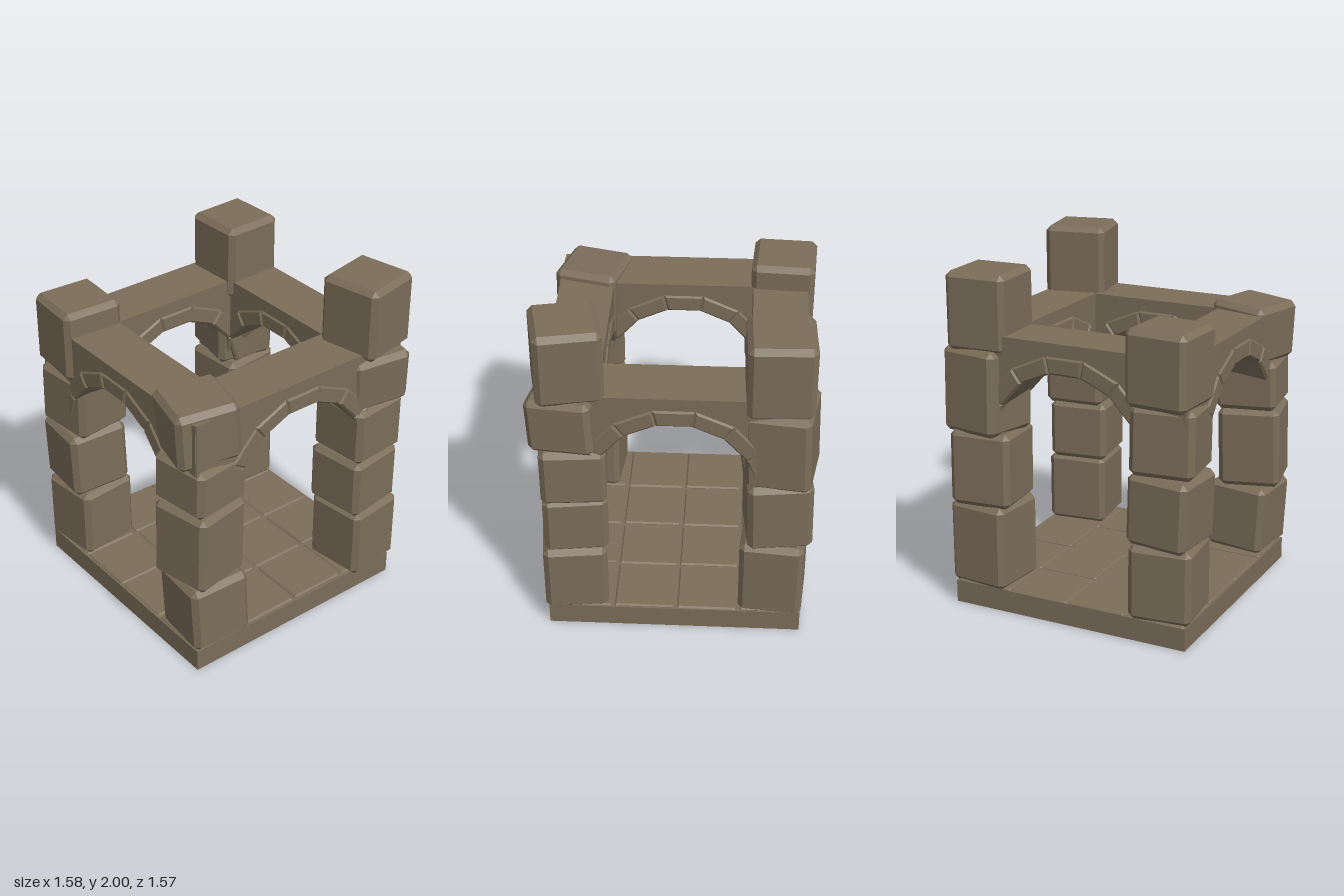
import * as THREE from 'three';
import { ConvexGeometry } from 'three/addons/geometries/ConvexGeometry.js';

const stone = new THREE.MeshStandardMaterial({ color: 0x7b6d59, flatShading: true });
stone.name = 'brown stone';

// Box with chamfered edges and cut corners
function chamferBox(w, h, d, c) {
  const pts = [];
  for (const sx of [-1, 1]) for (const sy of [-1, 1]) for (const sz of [-1, 1]) {
    const [x, y, z] = [w / 2, h / 2, d / 2];
    pts.push(
      new THREE.Vector3(sx * x, sy * (y - c), sz * (z - c)),
      new THREE.Vector3(sx * (x - c), sy * y, sz * (z - c)),
      new THREE.Vector3(sx * (x - c), sy * (y - c), sz * z));
  }
  return new ConvexGeometry(pts);
}

// Wedge stone for the arch, with chamfered front and back faces
function wedge(rIn, rOut, halfAngle, depth, c) {
  const pts = [], t = Math.tan(halfAngle);
  for (const s of [-1, 1]) for (const z of [-1, 1]) {
    for (const r of [rIn, rOut]) {
      const inset = r === rIn ? c : -c;
      pts.push(
        new THREE.Vector3(s * r * t, r, z * (depth / 2 - c)),
        new THREE.Vector3(s * ((r + inset) * t - c), r + inset, z * depth / 2));
    }
  }
  return new ConvexGeometry(pts);
}

function add(parent, name, geometry, x = 0, y = 0, z = 0) {
  const mesh = new THREE.Mesh(geometry, stone);
  mesh.name = name;
  mesh.position.set(x, y, z);
  parent.add(mesh);
  return mesh;
}

// Stacked blocks per corner: [x, z, bottom, top, pitch, yaw, roll]
const PILLARS = {
  frontLeftPillar: [
    [0.56, 0.57, 0.13, 0.56, 0, 0.12, 0],
    [0.545, 0.56, 0.55, 0.91, 0, 0.13, 0],
    [0.565, 0.555, 0.90, 1.25, 0, 0.09, 0],
    [0.58, 0.575, 1.24, 1.59, 0.06, -0.18, 0.04],
    [0.572, 0.565, 1.57, 2.0, 0, 0.2, 0]],
  frontRightPillar: [
    [-0.545, 0.565, 0.13, 0.56, 0, -0.08, 0.05],
    [-0.575, 0.56, 0.55, 1.03, 0, 0.2, -0.03],
    [-0.56, 0.55, 1.02, 1.32, 0, 0.14, -0.03],
    [-0.565, 0.53, 1.31, 1.66, 0, -0.25, 0.05]],
  backLeftPillar: [
    [0.555, -0.555, 0.13, 0.62, 0, -0.09, 0],
    [0.55, -0.565, 0.61, 1.05, 0.02, 0.1, 0],
    [0.56, -0.575, 1.03, 1.52, 0.03, -0.17, 0],
    [0.55, -0.55, 1.50, 1.94, 0, 0.04, 0]],
  backRightPillar: [
    [-0.545, -0.55, 0.13, 0.56, 0, 0.1, 0],
    [-0.555, -0.56, 0.55, 0.96, 0, -0.08, 0.03],
    [-0.55, -0.55, 0.95, 1.34, 0.03, 0.12, 0],
    [-0.55, -0.575, 1.33, 1.75, 0, -0.06, 0]],
};

const ARCH_Y = 1.0, STEP = THREE.MathUtils.degToRad(24);

// Wall outline with a faceted arch cut from its lower edge
function wallGeometry(depth) {
  const shape = new THREE.Shape();
  shape.moveTo(0.705, 1.61);
  shape.lineTo(-0.705, 1.61);
  shape.lineTo(-0.705, 1.05);
  for (let i = -3.5; i <= 3.5; i++) {
    shape.lineTo(0.455 * Math.sin(i * STEP), ARCH_Y + 0.455 * Math.cos(i * STEP));
  }
  shape.lineTo(0.705, 1.05);
  shape.closePath();
  const geo = new THREE.ExtrudeGeometry(shape, { depth, bevelEnabled: false });
  return geo.translate(0, 0, -depth / 2);
}

export function createModel() {
  const model = new THREE.Group();
  model.name = 'stonePavilion';

  // Floor slab and paving
  add(model, 'floorSlab', new THREE.BoxGeometry(1.434, 0.13, 1.434), 0, 0.065, 0);
  const paving = new THREE.Group();
  paving.name = 'paving';
  model.add(paving);
  const tile = chamferBox(0.342, 0.04, 0.342, 0.009);
  for (let i = 0; i < 4; i++) for (let j = 0; j < 4; j++) {
    const y = 0.119 + ((i + j) % 2) * 0.003;
    add(paving, 'floorTile', tile, (i - 1.5) * 0.358, y, (j - 1.5) * 0.358 - 0.008);
  }

  // Four arched walls, one per side
  const wall = wallGeometry(0.31);
  const archStone = wedge(0.438, 0.538, STEP / 2, 0.33, 0.012);
  ['frontWall', 'leftWall', 'backWall', 'rightWall'].forEach((name, k) => {
    const side = new THREE.Group();
    side.name = name;
    side.rotation.y = k * Math.PI / 2;
    model.add(side);
    add(side, 'archedWall', wall, 0, 0, 0.555);
    for (let i = -3; i <= 3; i++) {
      add(side, 'archStone', archStone, 0, ARCH_Y, 0.555).rotation.z = -i * STEP;
    }
  });

  // Corner pillars of loosely stacked blocks
  for (const [name, blocks] of Object.entries(PILLARS)) {
    const pillar = new THREE.Group();
    pillar.name = name;
    model.add(pillar);
    for (const [x, z, y0, y1, pitch, yaw, roll] of blocks) {
      const lean = 0.3 * (Math.abs(pitch) + Math.abs(roll));
      const geo = chamferBox(0.36, y1 - y0 - lean, 0.36, 0.03);
      add(pillar, 'pillarBlock', geo, x, (y0 + y1) / 2, z).rotation.set(pitch, yaw, roll);
    }
  }
  return model;
}
